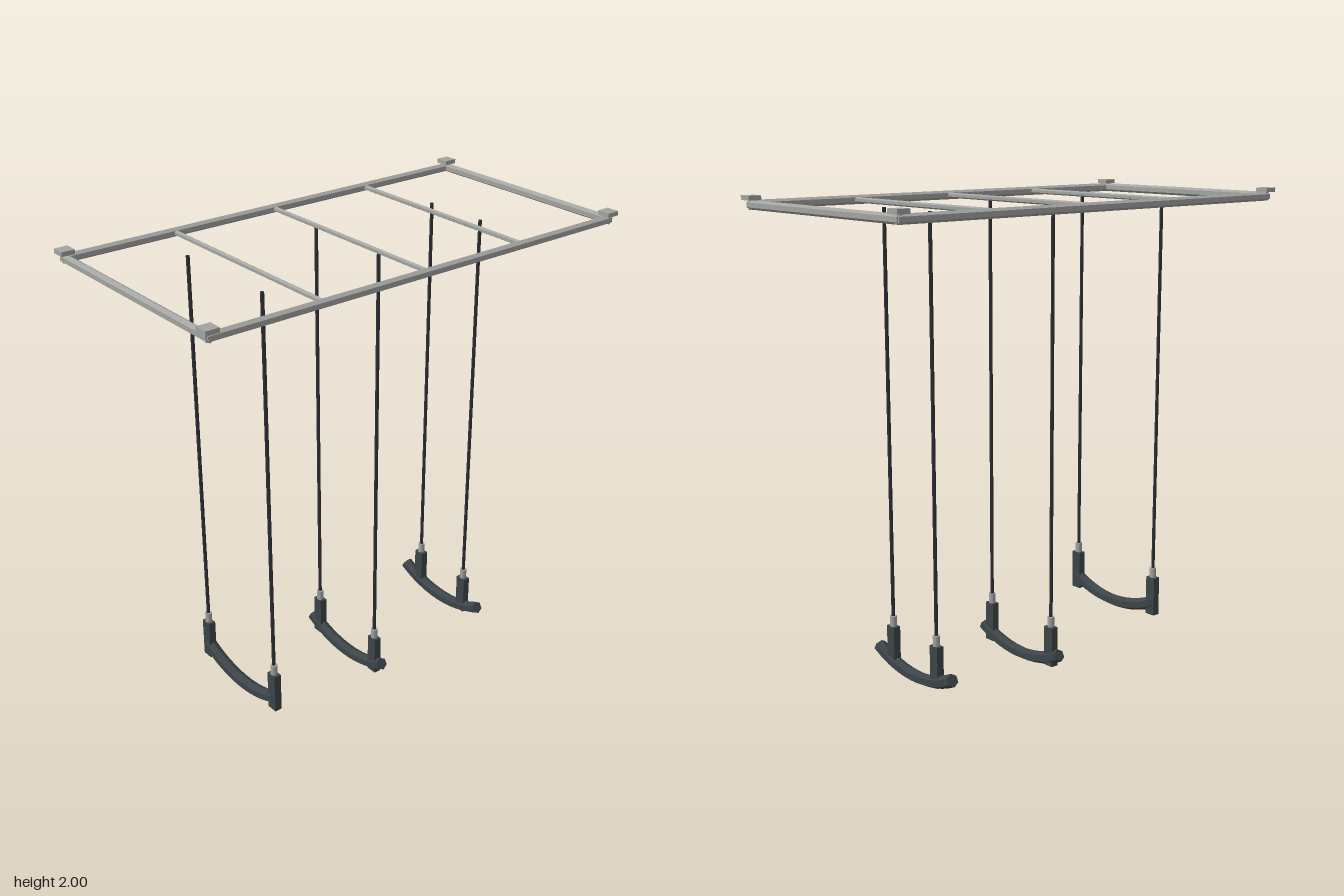
import * as THREE from 'three';

const mat = (name, color) => Object.assign(new THREE.MeshStandardMaterial({ color }), { name });

export function createModel() {
  const steel = mat('steel grey', 0xa2a4a1);
  const rubber = mat('dark rubber', 0x3c4448);
  const cord = mat('dark rope', 0x2c2f35);
  const model = new THREE.Group();
  model.name = 'ceilingSwingFrame';

  const add = (parent, name, geometry, material, x, y, z) => {
    const mesh = new THREE.Mesh(geometry, material);
    mesh.name = name;
    mesh.position.set(x, y, z);
    parent.add(mesh);
    return mesh;
  };

  // Faceted prism along y with flat normals
  const prism = (radius, length, sides) => {
    const g = new THREE.CylinderGeometry(radius, radius, length, sides).toNonIndexed();
    g.computeVertexNormals();
    return g;
  };

  // Rectangular ceiling frame
  const frame = new THREE.Group();
  frame.name = 'frame';
  model.add(frame);
  const railY = 1.964, halfX = 0.475, halfZ = 0.952;
  const sideRail = prism(0.0185, 1.925, 6).rotateX(Math.PI / 2);
  const endRail = prism(0.0185, 0.97, 6).rotateX(Math.PI / 2).rotateY(Math.PI / 2);
  const crossBar = prism(0.011, 0.94, 6).rotateX(Math.PI / 2).rotateY(Math.PI / 2);
  const plate = new THREE.BoxGeometry(0.056, 0.018, 0.056);
  for (const s of [-1, 1]) {
    add(frame, 'sideRail', sideRail, steel, s * halfX, railY, 0);
    add(frame, 'endRail', endRail, steel, 0, railY, s * halfZ);
    for (const t of [-1, 1]) add(frame, 'mountingPlate', plate, steel, s * halfX, 1.991, t * halfZ);
  }
  for (const z of [-0.476, 0, 0.476]) add(frame, 'crossBar', crossBar, steel, 0, railY, z);

  // Hexagonal grip bent along a shallow arc
  const bendRadius = 0.53, bendAngle = 0.48;
  const hex = new THREE.Shape();
  for (let i = 0; i < 6; i++) {
    const a = Math.PI / 2 + (i * Math.PI) / 3;
    hex[i ? 'lineTo' : 'moveTo'](0.027 * Math.cos(a), 0.027 * Math.sin(a));
  }
  hex.closePath();
  const grip = new THREE.ExtrudeGeometry(hex, { depth: 1, steps: 12, bevelEnabled: false });
  const p = grip.attributes.position;
  for (let i = 0; i < p.count; i++) {
    const a = (p.getZ(i) * 2 - 1) * bendAngle;
    const r = bendRadius - p.getY(i);
    p.setXYZ(i, r * Math.sin(a), bendRadius - r * Math.cos(a), -p.getX(i));
  }
  grip.computeVertexNormals();

  // Three hanging bars: depth, arc height and rope spacing differ
  const sleeve = new THREE.BoxGeometry(0.048, 0.172, 0.032);
  const ferrule = new THREE.CylinderGeometry(0.0145, 0.0145, 0.046, 16);
  for (const [z, y, ropeX] of [[0.57, 0.127, 0.238], [0, 0.027, 0.192], [-0.57, 0.079, 0.144]]) {
    const swing = new THREE.Group();
    swing.name = 'hangingBar';
    swing.position.set(0, y, z);
    model.add(swing);
    add(swing, 'curvedGrip', grip, rubber, 0, 0, 0);
    const ropeLength = 1.955 - y - 0.2;
    const rope = prism(0.0075, ropeLength, 6).rotateY(Math.PI / 2);
    for (const s of [-1, 1]) {
      add(swing, 'sleeve', sleeve, rubber, s * ropeX, 0.088, 0);
      add(swing, 'ferrule', ferrule, steel, s * ropeX, 0.195, 0);
      add(swing, 'rope', rope, cord, s * ropeX, 0.2 + ropeLength / 2, 0);
    }
  }
  return model;
}
